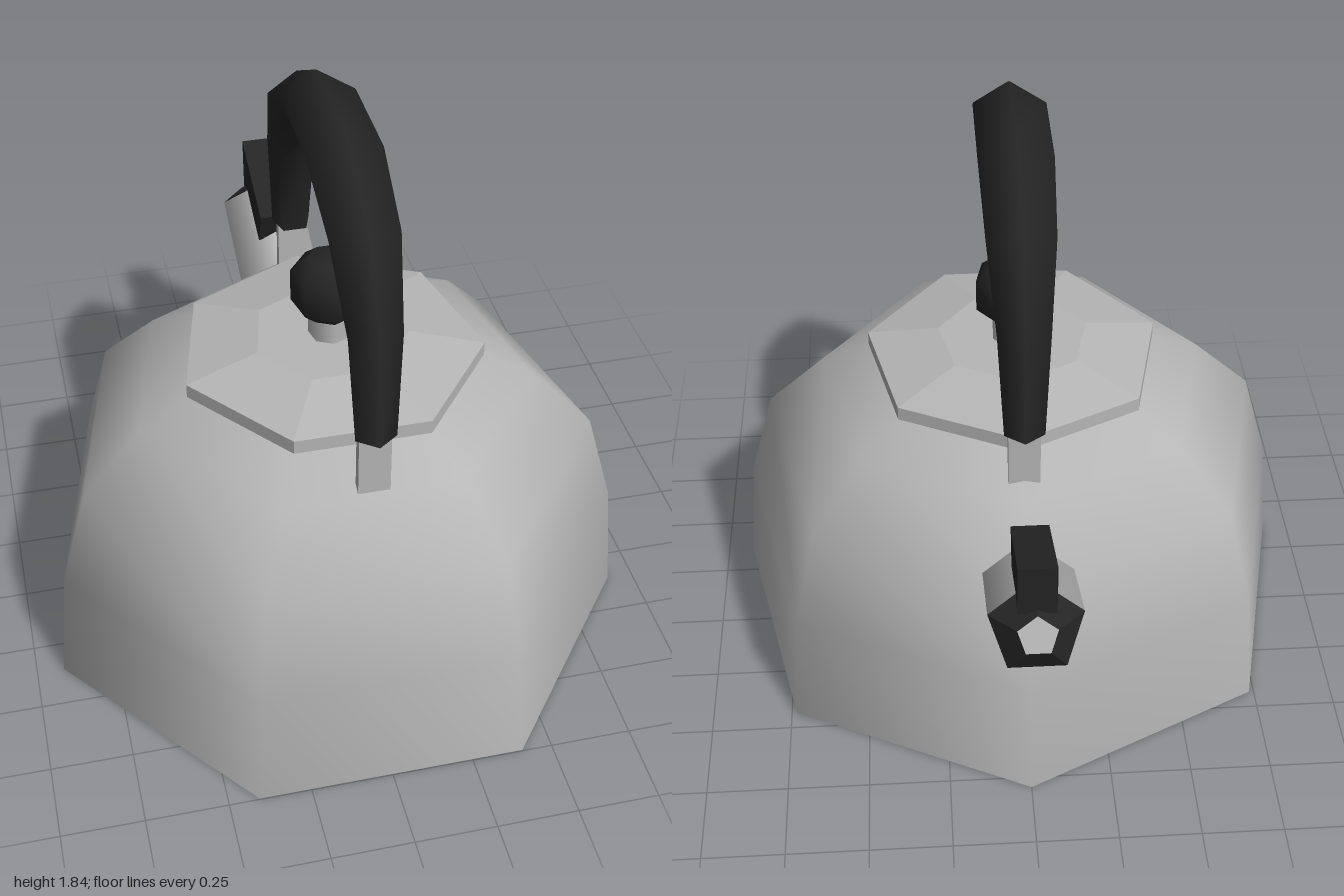
import * as THREE from 'three';

const steel = new THREE.MeshStandardMaterial({ color: 0xb6b6b6 });
steel.name = 'brushed steel';
const black = new THREE.MeshStandardMaterial({ color: 0x252525 });
black.name = 'black plastic';

const CZ = 0.15; // z of the pot's axis
const SIDES = 7;

function add(parent, name, geometry, material, x = 0, y = 0, z = 0) {
  const mesh = new THREE.Mesh(geometry, material);
  mesh.name = name;
  mesh.position.set(x, y, z);
  parent.add(mesh);
  return mesh;
}

// Seven-sided turned shape; start = PI puts a corner at the back
function turned(profile, start = Math.PI) {
  const pts = profile.map(([r, y]) => new THREE.Vector2(r, y));
  return new THREE.LatheGeometry(pts, SIDES, start);
}

function flat(geometry) {
  const g = geometry.toNonIndexed();
  g.computeVertexNormals();
  return g;
}

function polygon(points) {
  return new THREE.Shape(points.map(([x, y]) => new THREE.Vector2(x, y)));
}

// Arched grip: pentagon sections swept from front to back
function gripGeometry() {
  // outer offset, outer y, inner offset, inner y, half width
  const half = [
    [0.605, 1.09, 0.49, 1.09, 0.06],
    [0.585, 1.43, 0.445, 1.4, 0.077],
    [0.45, 1.69, 0.31, 1.6, 0.1],
    [0.18, 1.84, 0.13, 1.67, 0.11],
  ];
  const back = half.map(([a, b, c, d, w]) => [-a, b, -c, d, w]).reverse();
  const stations = [...half, ...back];
  const pos = [];
  const index = [];
  const ring = ([oz, oy, iz, iy, w]) => {
    for (let k = 0; k < 5; k++) {
      const a = (k * Math.PI * 2) / 5;
      const t = (1 - Math.cos(a)) / 1.809;
      pos.push((w * Math.sin(a)) / 0.951, oy + (iy - oy) * t, CZ + oz + (iz - oz) * t);
    }
  };
  stations.forEach(ring);
  for (let i = 0; i < stations.length - 1; i++) {
    for (let k = 0; k < 5; k++) {
      const a = i * 5 + k, b = i * 5 + ((k + 1) % 5);
      index.push(a, b, b + 5, a, b + 5, a + 5);
    }
  }
  // end caps with their own corners
  const s = pos.length / 3;
  ring(stations[0]);
  ring(stations[stations.length - 1]);
  for (let k = 1; k < 4; k++) {
    index.push(s, s + k + 1, s + k);
    index.push(s + 5, s + 5 + k, s + 5 + k + 1);
  }
  const g = new THREE.BufferGeometry();
  g.setAttribute('position', new THREE.Float32BufferAttribute(pos, 3));
  g.setIndex(index);
  g.computeVertexNormals();
  return g;
}

export function createModel() {
  const kettle = new THREE.Group();
  kettle.name = 'kettle';

  // Pot
  add(kettle, 'body', turned([
    [0.94, 0], [0.905, 0.38], [0.817, 0.69], [0.626, 0.88], [0.45, 0.96],
  ]), steel, 0, 0, CZ);
  const base = new THREE.CircleGeometry(0.94, SIDES, -Math.PI / 2).rotateX(Math.PI / 2);
  add(kettle, 'base', base, steel, 0, 0.004, CZ);
  const patch = new THREE.ShapeGeometry(polygon([
    [0.735, -0.435], [0, -0.785], [0.01, 0.07], [0.84, 0.03],
  ])).rotateX(Math.PI / 2);
  add(kettle, 'basePatch', patch, black);

  // Lid, stem and knob
  add(kettle, 'lid', flat(turned([
    [0, 0.955], [0.47, 0.955], [0.47, 1], [0.24, 1.045], [0, 1.045],
  ])), steel, 0, 0, CZ);
  add(kettle, 'knobStem', new THREE.CylinderGeometry(0.066, 0.066, 0.1, SIDES), steel, 0, 1.08, CZ);
  add(kettle, 'knob', turned([
    [0, 1.11], [0.06, 1.11], [0.118, 1.165], [0.118, 1.27], [0.06, 1.32], [0, 1.32],
  ], 0), black, 0, 0, CZ);

  // Handle
  add(kettle, 'handleGrip', gripGeometry(), black);
  add(kettle, 'frontBracket', new THREE.BoxGeometry(0.095, 0.23, 0.03), steel, 0, 1.0, CZ + 0.54);
  add(kettle, 'backBracket', new THREE.BoxGeometry(0.095, 0.22, 0.03), steel, 0, 1.005, CZ - 0.54);

  // Spout, tilted up and back
  const spout = new THREE.Group();
  spout.name = 'spout';
  spout.position.set(0, 0.68, -0.605);
  spout.rotation.x = -1.162;
  kettle.add(spout);
  add(spout, 'spoutTube', new THREE.CylinderGeometry(0.142, 0.142, 0.34, 5), steel, 0, 0.17, 0);
  add(spout, 'spoutRim', flat(new THREE.CylinderGeometry(0.06, 0.142, 0.07, 5, 1, true)), black, 0, 0.375, 0);
  const mouth = new THREE.CircleGeometry(0.06, 5, Math.PI / 2).rotateX(-Math.PI / 2);
  mouth.rotateY(Math.PI); // corner towards the lever
  add(spout, 'spoutMouth', mouth, steel, 0, 0.41, 0);

  // Spout lever, drawn in side view
  const lever = new THREE.ExtrudeGeometry(polygon([
    [0.64, 0.945], [0.68, 0.83], [0.89, 0.91], [0.94, 0.89], [0.95, 1.065],
  ]), { depth: 0.11, bevelEnabled: false });
  lever.rotateY(Math.PI / 2).translate(-0.055, 0, 0);
  add(kettle, 'spoutLever', lever, black);

  return kettle;
}
